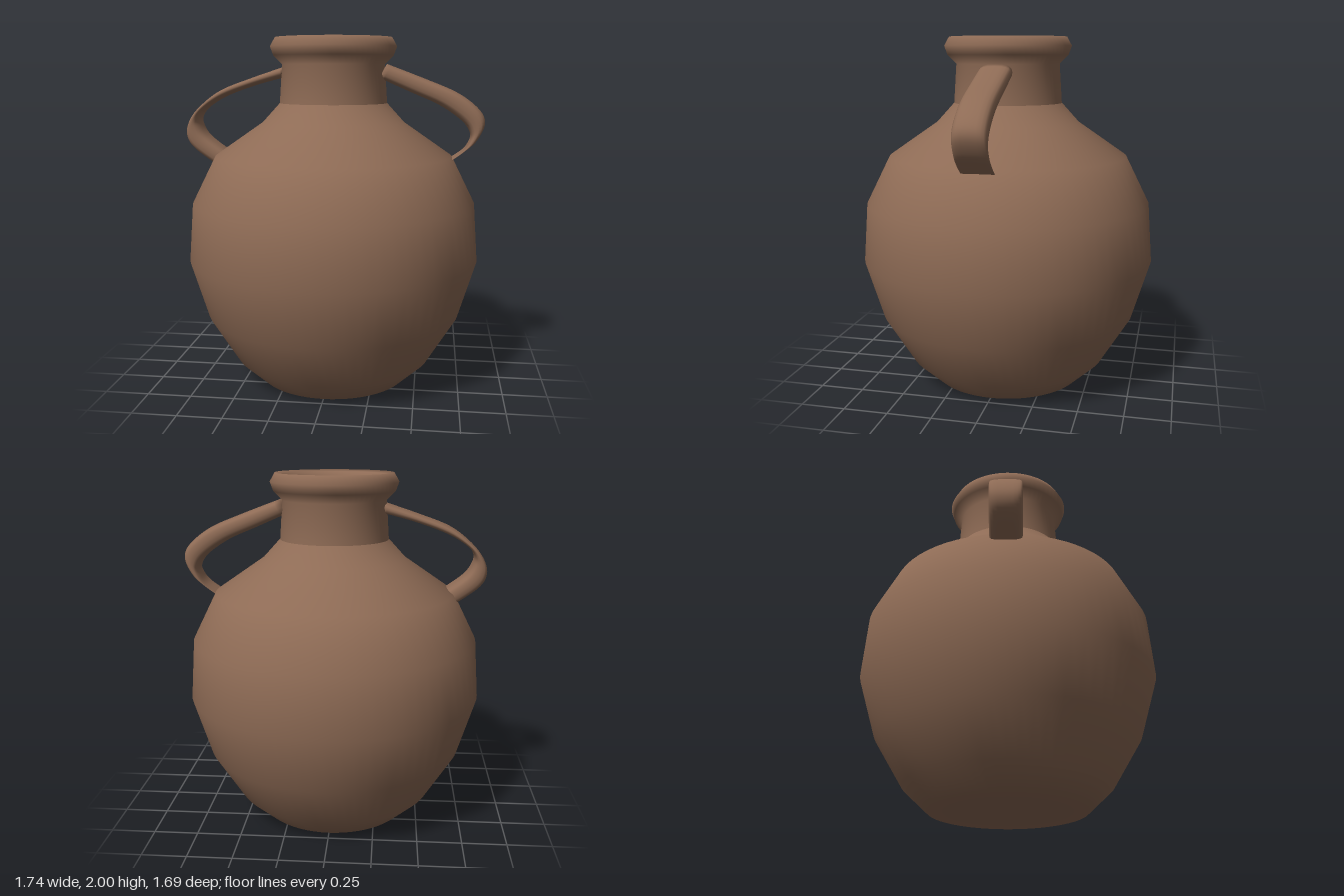
import * as THREE from 'three';

const clay = new THREE.MeshStandardMaterial({ color: 0x8e6b55, side: THREE.DoubleSide });
clay.name = 'brown clay';

const v2 = (pts) => pts.map(([x, y]) => new THREE.Vector2(x, y));

// Flattened strap swept between an outer and an inner edge curve in the xy plane
function strap(outer, inner, side) {
  const edge = (pts) => new THREE.SplineCurve(v2(pts));
  const a = edge(outer), b = edge(inner);
  const rows = 36, ring = 20, halfWidth = 0.09;
  const pos = [], idx = [];
  const soft = (v) => Math.sign(v) * Math.pow(Math.abs(v), 0.7);
  for (let i = -1; i <= rows + 1; i++) {
    const t = THREE.MathUtils.clamp(i / rows, 0, 1);
    const cap = i < 0 || i > rows ? 0 : 1; // end rows collapse to close the strap
    const o = a.getPoint(t), n = b.getPoint(t);
    const mid = o.clone().add(n).multiplyScalar(0.5);
    const half = o.clone().sub(n).multiplyScalar(0.5);
    for (let j = 0; j < ring; j++) {
      const ang = (j / ring) * Math.PI * 2;
      const c = soft(Math.cos(ang)) * cap, s = soft(Math.sin(ang)) * cap;
      pos.push(side * (mid.x + half.x * c), mid.y + half.y * c, side * halfWidth * s);
    }
  }
  for (let i = 0; i < rows + 2; i++) {
    for (let j = 0; j < ring; j++) {
      const k = (j + 1) % ring;
      const p = i * ring + j, q = i * ring + k;
      idx.push(p, q, p + ring, q, q + ring, p + ring);
    }
  }
  const g = new THREE.BufferGeometry();
  g.setAttribute('position', new THREE.Float32BufferAttribute(pos, 3));
  g.setIndex(idx);
  g.computeVertexNormals();
  return g;
}

export function createModel() {
  const group = new THREE.Group();
  group.name = 'twoHandledJar';
  const add = (name, geometry) => {
    const mesh = new THREE.Mesh(geometry, clay);
    mesh.name = name;
    group.add(mesh);
  };
  const lathe = (pts) => new THREE.LatheGeometry(v2(pts), 64);

  // Belly, from the base up to the foot of the neck
  add('body', lathe([
    [0, 0], [0.44, 0], [0.58, 0.13], [0.745, 0.4], [0.845, 0.73],
    [0.82, 1.06], [0.685, 1.33], [0.41, 1.52], [0.31, 1.63],
  ]));

  // Neck and rolled lip, over to the mouth
  add('neckAndLip', lathe([
    [0.31, 1.63], [0.295, 1.85], [0.345, 1.9], [0.363, 1.95],
    [0.335, 2], [0.285, 1.99], [0.252, 1.94], [0.25, 1.88],
  ]));

  // Hollow inside
  add('interior', lathe([
    [0.25, 1.88], [0.24, 1.62], [0.36, 1.48], [0.63, 1.3], [0.77, 1.05],
    [0.79, 0.73], [0.69, 0.42], [0.53, 0.17], [0.4, 0.06], [0, 0.06],
  ]));

  // Handles: the left tapers towards the belly, the right towards the neck
  add('leftHandle', strap(
    [[0.31, 1.85], [0.52, 1.77], [0.71, 1.69], [0.83, 1.6], [0.866, 1.52], [0.82, 1.42], [0.75, 1.36], [0.67, 1.3]],
    [[0.27, 1.77], [0.44, 1.695], [0.61, 1.62], [0.74, 1.53], [0.785, 1.46], [0.775, 1.41], [0.74, 1.36], [0.665, 1.31]],
    1,
  ));
  add('rightHandle', strap(
    [[0.27, 1.84], [0.48, 1.77], [0.66, 1.7], [0.79, 1.6], [0.855, 1.51], [0.867, 1.43], [0.82, 1.355], [0.68, 1.255]],
    [[0.27, 1.78], [0.46, 1.73], [0.64, 1.665], [0.75, 1.6], [0.79, 1.55], [0.787, 1.5], [0.74, 1.43], [0.62, 1.34]],
    -1,
  ));

  return group;
}
